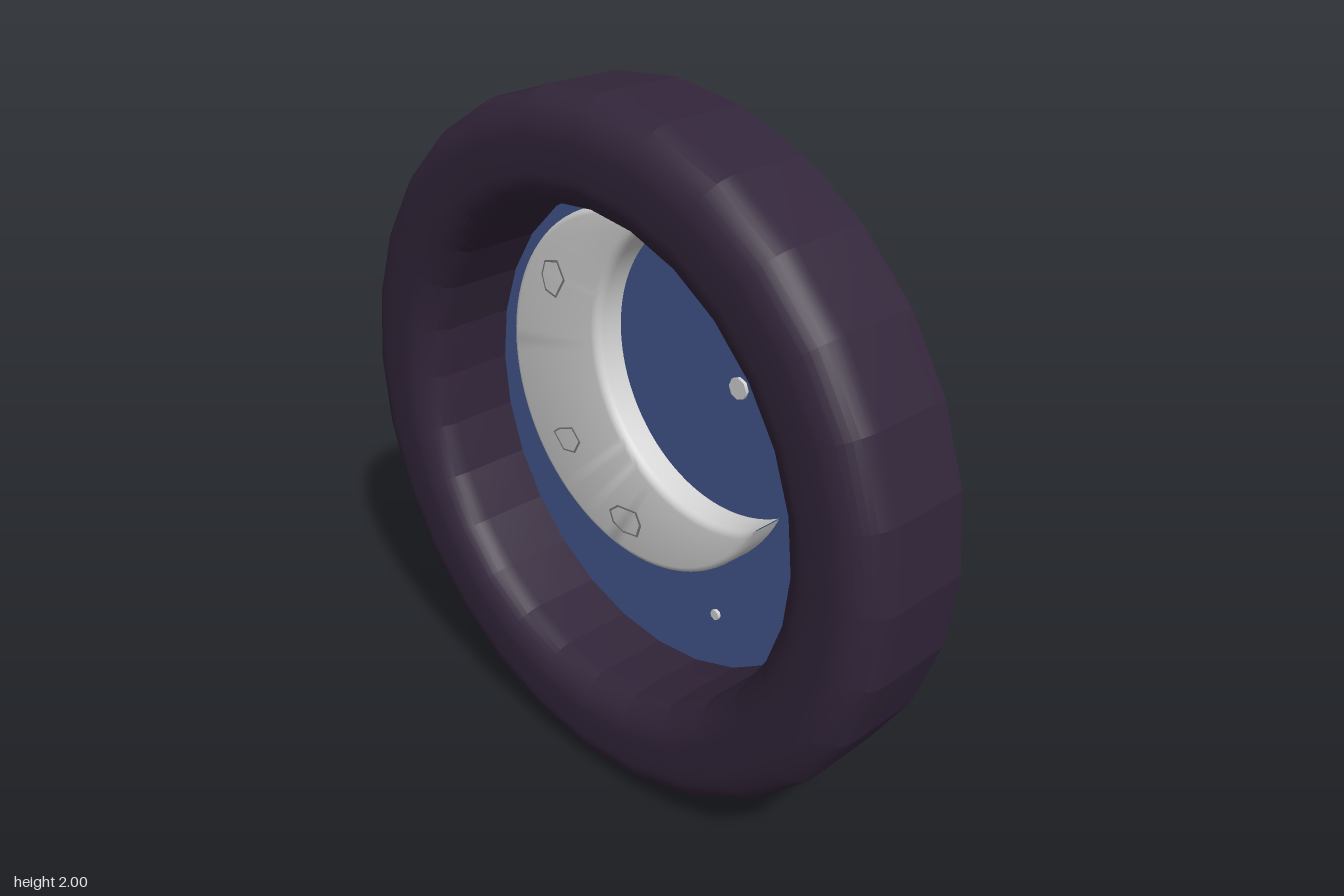
import * as THREE from 'three';
import { toCreasedNormals } from 'three/addons/utils/BufferGeometryUtils.js';

const mat = (name, color) => {
  const m = new THREE.MeshStandardMaterial({ color });
  m.name = name;
  return m;
};

const SIDES = 28;
const BACK = -0.17, FRONT = 0.17;
const DISC_Z = -0.135;   // front of the sky disc
const MOON_Z = -0.045;   // front of the moon

// Points along a quarter-round in the ring profile
function fillet(cx, cy, r, from, to, steps = 9) {
  return Array.from({ length: steps + 1 }, (_, i) => {
    const a = from + (to - from) * i / steps;
    return new THREE.Vector2(cx + r * Math.cos(a), cy + r * Math.sin(a));
  });
}

// Thick ring with rounded front edges and a flat back
function ringGeometry() {
  const profile = [
    new THREE.Vector2(0.995, BACK),
    ...fillet(0.89, FRONT - 0.11, 0.11, 0, Math.PI / 2),
    ...fillet(0.805, FRONT - 0.1, 0.1, Math.PI / 2, Math.PI),
    new THREE.Vector2(0.705, BACK),
    new THREE.Vector2(0.995, BACK),
  ];
  const g = new THREE.LatheGeometry(profile, SIDES);
  g.rotateX(Math.PI / 2);
  return toCreasedNormals(g, 0.2);
}

// Crescent between two circles, with a rounded rim, swept from tip to tip
function moonGeometry() {
  const outer = { x: -0.025, y: 1.14, r: 0.52 };
  const inner = { x: 0.24, y: 1.28, r: 0.41 };
  const dx = inner.x - outer.x, dy = inner.y - outer.y;
  const d = Math.hypot(dx, dy), axis = Math.atan2(dy, dx);
  const a = (outer.r ** 2 - inner.r ** 2 + d * d) / (2 * d);
  const halfOuter = Math.acos(a / outer.r);
  const halfInner = Math.acos((a - d) / inner.r);
  const steps = 64, bevelSteps = 4, bevel = 0.025;
  const on = (c, half, t) => {
    const ang = axis + half + (2 * Math.PI - 2 * half) * t;
    return new THREE.Vector2(c.x + c.r * Math.cos(ang), c.y + c.r * Math.sin(ang));
  };
  const pos = [], index = [];
  const cols = 2 * (bevelSteps + 2);
  for (let i = 0; i <= steps; i++) {
    const t = 0.002 + 0.996 * i / steps;
    const o = on(outer, halfOuter, t), n = on(inner, halfInner, t);
    const inset = Math.min(bevel / o.distanceTo(n), 0.45);
    const section = [[0, DISC_Z]];
    for (let k = 0; k <= bevelSteps; k++) {
      const q = (k / bevelSteps) * Math.PI / 2;
      section.push([inset * (1 - Math.cos(q)), MOON_Z - bevel * (1 - Math.sin(q))]);
    }
    const mirrored = section.map(([s, z]) => [1 - s, z]).reverse();
    for (const [s, z] of [...section, ...mirrored]) {
      const p = o.clone().lerp(n, s);
      pos.push(p.x, p.y, z);
    }
  }
  for (let i = 0; i < steps; i++) {
    for (let j = 0; j < cols - 1; j++) {
      const p = i * cols + j, q = p + cols;
      index.push(p, q, p + 1, q, q + 1, p + 1);
    }
  }
  const g = new THREE.BufferGeometry();
  g.setAttribute('position', new THREE.Float32BufferAttribute(pos, 3));
  g.setIndex(index);
  return toCreasedNormals(g, 0.7);
}

// Thin polygon outline marking a crater
function craterGeometry(corners) {
  const pts = corners.map(([x, y]) => new THREE.Vector2(x, y));
  const c = pts.reduce((s, p) => s.add(p), new THREE.Vector2()).divideScalar(pts.length);
  const shape = new THREE.Shape(pts);
  shape.holes.push(new THREE.Path(pts.map(p => c.clone().lerp(p, 0.88))));
  return new THREE.ExtrudeGeometry(shape, { depth: 0.003, bevelEnabled: false });
}

export function createModel() {
  const model = new THREE.Group();
  model.name = 'moonMedallion';
  const frameMat = mat('dark plum', 0x32253a);
  const skyMat = mat('night blue', 0x43578f);
  const moonMat = mat('pale grey', 0xd4d4d4);
  const craterMat = mat('crater grey', 0x7c7c7c);

  const add = (name, geometry, material) => {
    const mesh = new THREE.Mesh(geometry, material);
    mesh.name = name;
    model.add(mesh);
    return mesh;
  };

  add('frameRing', ringGeometry(), frameMat).position.y = 1;

  // Sky disc closing the ring near its back
  const disc = new THREE.CylinderGeometry(0.708, 0.708, 0.02, SIDES);
  disc.rotateX(Math.PI / 2);
  add('skyDisc', disc, skyMat).position.set(0, 1, DISC_Z - 0.01);

  add('crescentMoon', moonGeometry(), moonMat);

  // Crater outlines on the moon
  const craters = [
    [[-0.385, 1.43], [-0.33, 1.445], [-0.30, 1.395], [-0.34, 1.33], [-0.385, 1.34], [-0.40, 1.385]],
    [[-0.34, 0.92], [-0.28, 0.945], [-0.245, 0.91], [-0.27, 0.865], [-0.32, 0.855], [-0.365, 0.90]],
    [[-0.085, 0.77], [-0.005, 0.78], [0.015, 0.745], [0, 0.70], [-0.06, 0.69], [-0.105, 0.705], [-0.12, 0.74]],
  ];
  craters.forEach((c, i) => {
    add(`crater${i + 1}`, craterGeometry(c), craterMat).position.z = MOON_Z - 0.001;
  });

  // Small round stars
  [[0.29, 1.25, 0.031], [0.54, 1.04, 0.016], [0.235, 0.515, 0.016]].forEach(([x, y, r], i) => {
    const g = new THREE.CylinderGeometry(r, r, 0.012, 8);
    g.rotateX(Math.PI / 2);
    add(`star${i + 1}`, g, moonMat).position.set(x, y, DISC_Z + 0.004);
  });

  return model;
}
